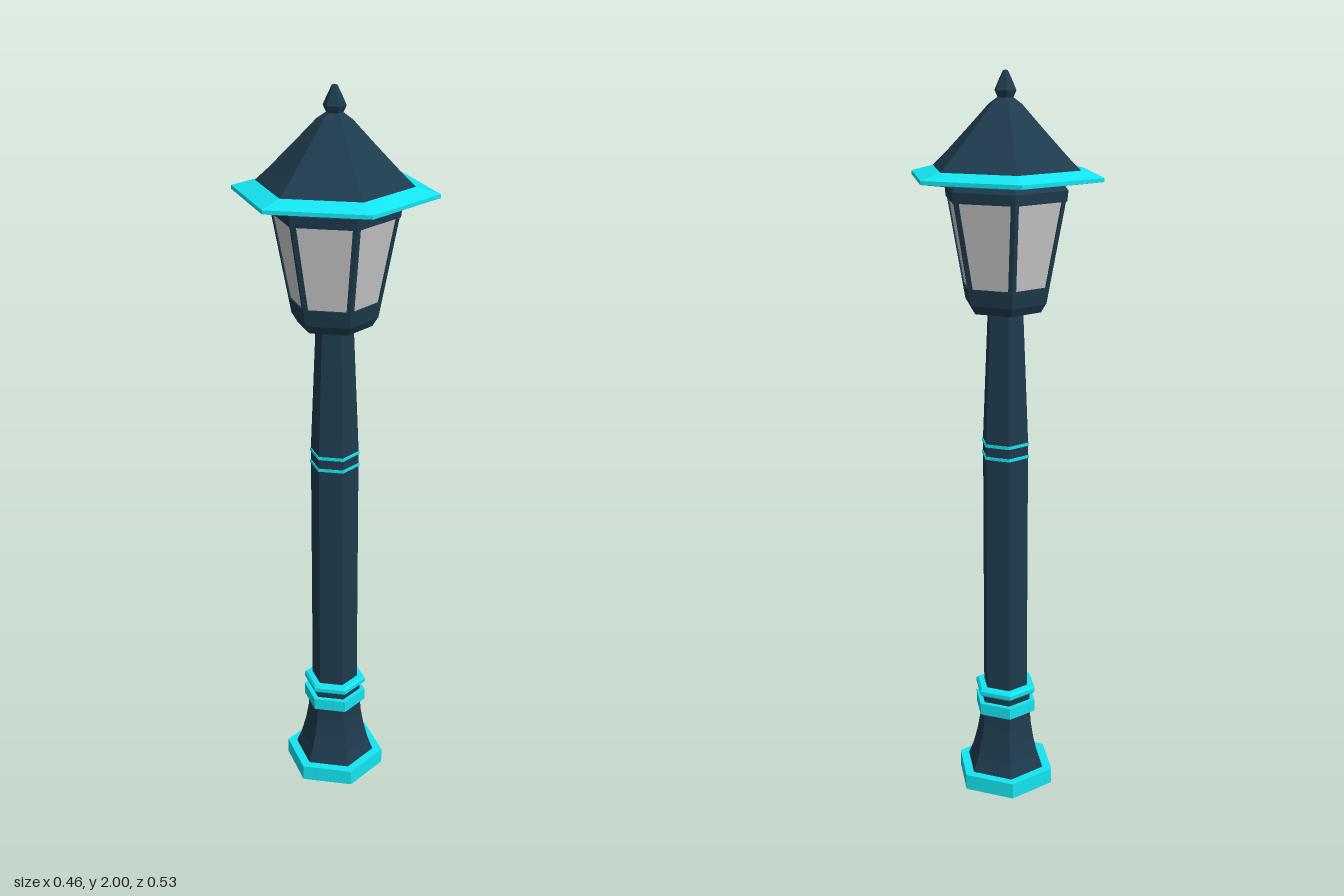
import * as THREE from 'three';

const NAVY = new THREE.MeshStandardMaterial({ color: 0x1e3b4e, flatShading: true });
const CYAN = new THREE.MeshStandardMaterial({ color: 0x14e5f2, flatShading: true });
const GLASS = new THREE.MeshStandardMaterial({ color: 0xcccccc, flatShading: true });
const APOTHEM = Math.cos(Math.PI / 6);

// Six-sided solid from a [radius, height] profile, listed bottom to top
function hexLathe(name, material, profile) {
  const points = profile.map(([r, y]) => new THREE.Vector2(r, y));
  const geometry = new THREE.LatheGeometry(points, 6).toNonIndexed();
  geometry.computeVertexNormals();
  const mesh = new THREE.Mesh(geometry, material);
  mesh.name = name;
  return mesh;
}

// Plain hexagonal band, closed above and below
function hexBand(name, material, y0, y1, r0, r1 = r0) {
  return hexLathe(name, material, [[0, y0], [r0, y0], [r1, y1], [0, y1]]);
}

// Window frames: six sloping trapezoids with a hole, meeting at the corners
function lanternFrames(y0, y1, r0, r1) {
  const group = new THREE.Group();
  group.name = 'lanternFrames';
  const a0 = r0 * APOTHEM, a1 = r1 * APOTHEM;
  const length = Math.hypot(y1 - y0, a1 - a0);
  const post = 0.012, bottomRail = 0.045, topRail = 0.012;
  const halfWidth = (v) => (r0 + (r1 - r0) * (v / length)) / 2;

  const trapezoid = (Type, v0, v1, margin) => new Type([
    new THREE.Vector2(-halfWidth(v0) + margin, v0),
    new THREE.Vector2(halfWidth(v0) - margin, v0),
    new THREE.Vector2(halfWidth(v1) - margin, v1),
    new THREE.Vector2(-halfWidth(v1) + margin, v1),
  ]);
  const shape = trapezoid(THREE.Shape, 0, length, 0);
  shape.holes.push(trapezoid(THREE.Path, bottomRail, length - topRail, post));

  const depth = 0.008;
  const geometry = new THREE.ExtrudeGeometry(shape, { depth, bevelEnabled: false });
  geometry.translate(0, 0, -depth);
  geometry.rotateX(Math.atan2(a1 - a0, y1 - y0));
  geometry.translate(0, y0, a0);
  for (let i = 0; i < 6; i++) {
    const frame = new THREE.Mesh(geometry, NAVY);
    frame.name = 'windowFrame';
    frame.rotation.y = Math.PI / 6 + i * Math.PI / 3;
    group.add(frame);
  }
  return group;
}

export function createModel() {
  const model = new THREE.Group();
  model.name = 'streetLamp';

  // Foot and flared pedestal
  model.add(hexBand('basePlate', CYAN, 0, 0.045, 0.143));
  model.add(hexLathe('pedestal', NAVY, [
    [0, 0.044], [0.116, 0.044], [0.1, 0.085], [0.087, 0.135],
    [0.079, 0.18], [0.075, 0.225], [0.075, 0.285], [0, 0.285],
  ]));
  model.add(hexBand('lowerCollar', CYAN, 0.222, 0.256, 0.09));
  model.add(hexLathe('upperCollar', CYAN, [
    [0, 0.276], [0.082, 0.276], [0.09, 0.283], [0.09, 0.294], [0.084, 0.3], [0, 0.3],
  ]));

  // Column with two thin rings where the taper starts
  model.add(hexLathe('column', NAVY, [
    [0, 0.28], [0.066, 0.28], [0.066, 1.03], [0.05, 1.4], [0, 1.4],
  ]));
  for (const y of [0.987, 1.022]) model.add(hexBand('columnRing', CYAN, y - 0.004, y + 0.004, 0.069));

  // Lantern
  const lantern = new THREE.Group();
  lantern.name = 'lantern';
  lantern.add(hexBand('lanternFloor', NAVY, 1.387, 1.412, 0.1, 0.115));
  lantern.add(lanternFrames(1.41, 1.69, 0.115, 0.168));
  lantern.add(hexBand('glass', GLASS, 1.412, 1.69, 0.111, 0.164));
  lantern.add(hexLathe('cornice', NAVY, [
    [0, 1.678], [0.169, 1.678], [0.172, 1.706], [0.155, 1.728], [0, 1.728],
  ]));
  model.add(lantern);

  // Roof with wide brim and pointed finial
  model.add(hexLathe('roofBrim', CYAN, [
    [0, 1.722], [0.2, 1.722], [0.267, 1.731], [0.267, 1.741], [0.205, 1.757], [0, 1.757],
  ]));
  model.add(hexLathe('roof', NAVY, [
    [0.208, 1.754], [0.168, 1.791], [0.1, 1.86], [0.045, 1.917], [0.02, 1.934], [0, 1.934],
  ]));
  model.add(hexLathe('finial', NAVY, [
    [0, 1.925], [0.018, 1.925], [0.03, 1.95], [0.02, 1.972], [0.007, 1.998], [0, 2],
  ]));
  return model;
}
